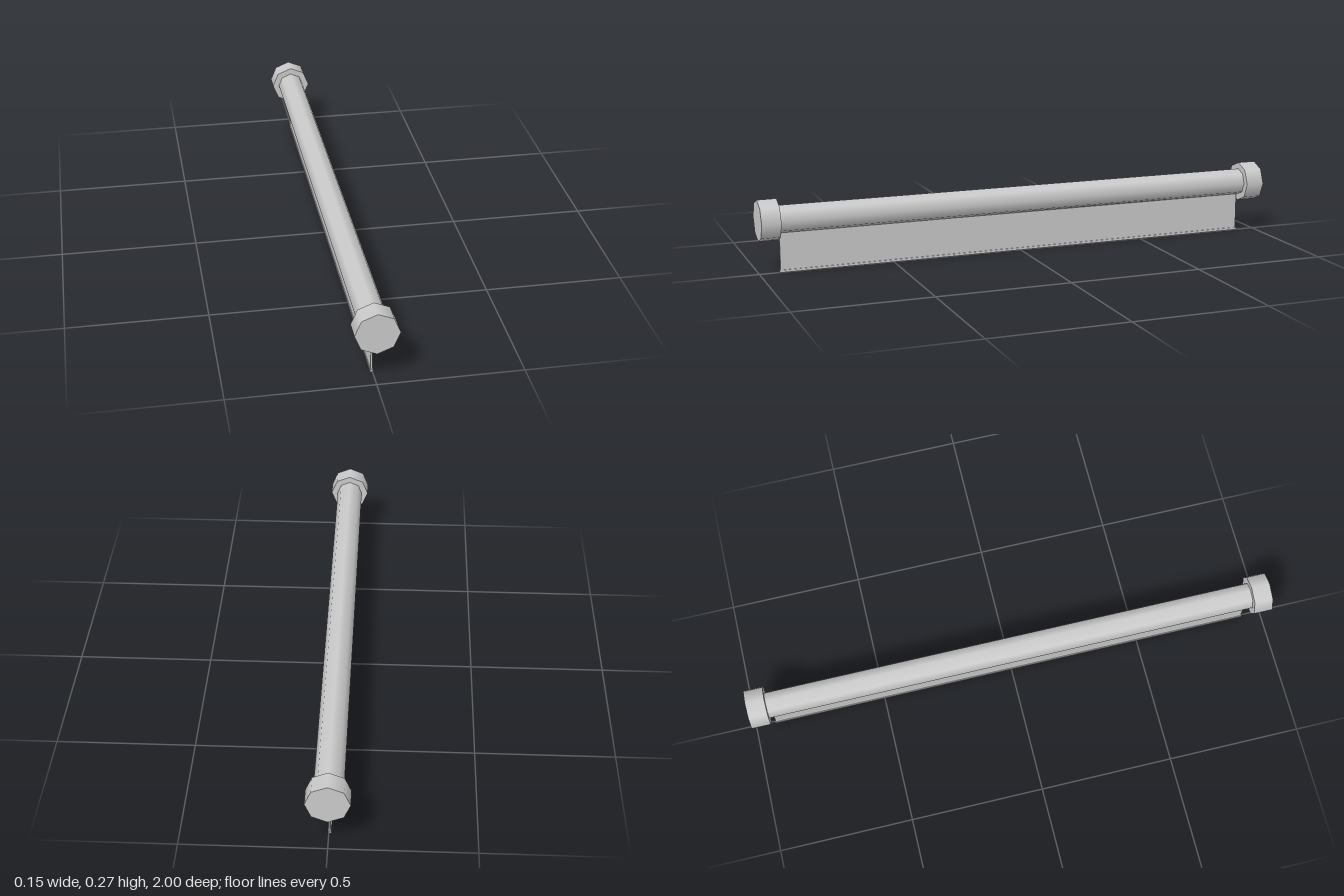
import * as THREE from 'three';

export function createModel() {
  const group = new THREE.Group();
  const material = new THREE.MeshStandardMaterial({ color: 0xcccccc });
  const axisY = 0.197;
  const capLength = 0.071;

  function add(name, geometry, x, y, z) {
    const mesh = new THREE.Mesh(geometry, material);
    mesh.name = name;
    mesh.position.set(x, y, z);
    group.add(mesh);
  }

  // Eight-sided rod lying along z, smooth around its side
  const rod = (radius, length) =>
    new THREE.CylinderGeometry(radius, radius, length, 8).rotateX(Math.PI / 2);

  // Roller tube between two wider end caps
  add('rollerTube', rod(0.051, 1.87), 0, axisY, 0);
  for (const [name, side] of [['frontEndCap', 1], ['backEndCap', -1]]) {
    add(name, rod(0.076, capLength), 0, axisY, side * (1 - capLength / 2));
  }

  // Hanging sheet and the weight bar along its lower edge
  const sheetX = -0.003;
  add('hangingSheet', new THREE.BoxGeometry(0.006, 0.165, 1.846), sheetX, 0.0875, 0);
  add('bottomBar', new THREE.BoxGeometry(0.011, 0.009, 1.854), sheetX, 0.0045, 0);

  return group;
}
